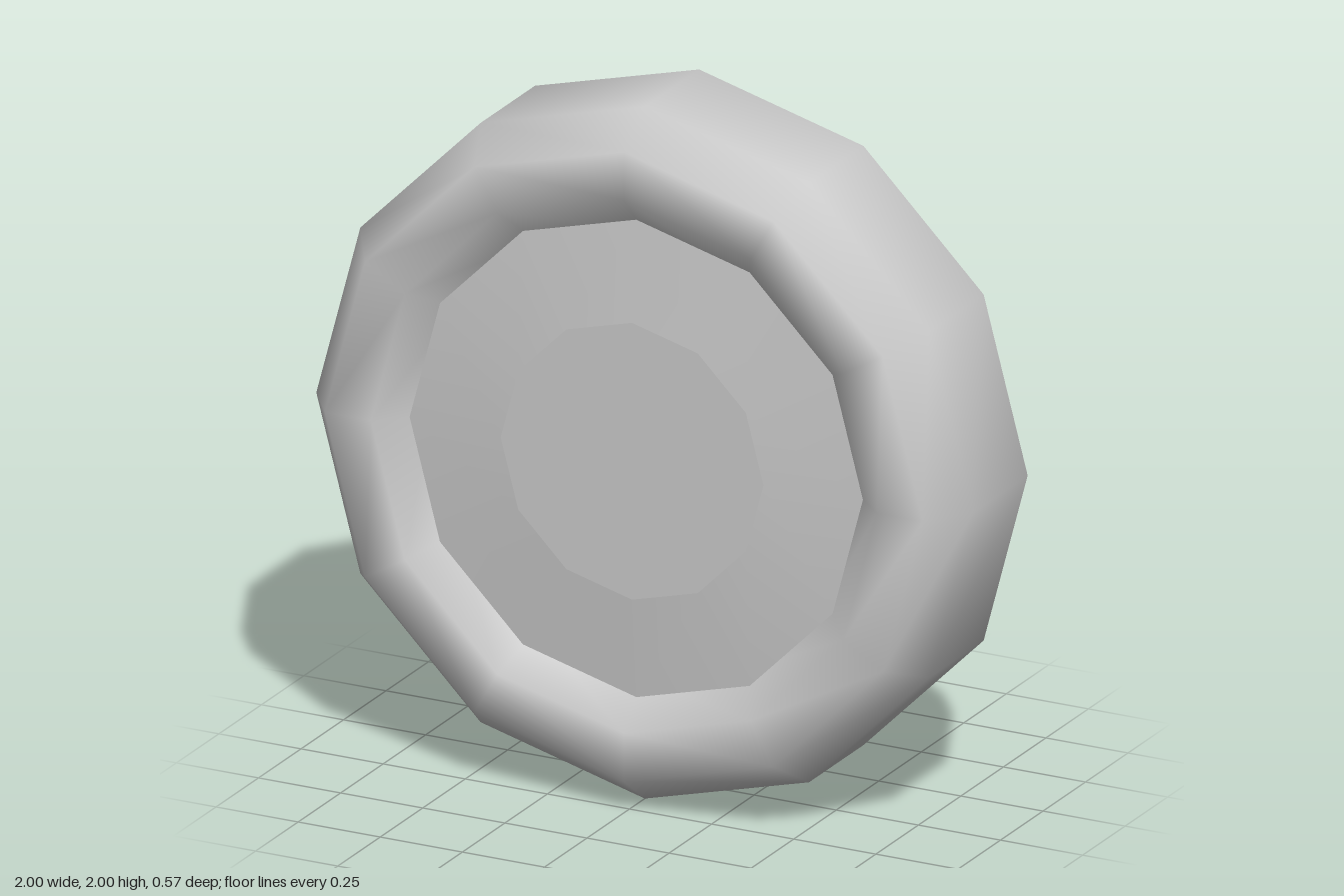
import * as THREE from 'three';

const SIDES = 12;

export function createModel() {
  const group = new THREE.Group();
  group.name = 'wheel';
  const material = new THREE.MeshStandardMaterial({ color: 0xcccccc });

  // Adds a mesh built around the y axis, turned so its axle lies along z
  const add = (name, geometry, z = 0, flip = false) => {
    geometry.rotateX(flip ? -Math.PI / 2 : Math.PI / 2);
    const mesh = new THREE.Mesh(geometry, material);
    mesh.name = name;
    mesh.position.set(0, 1, z);
    group.add(mesh);
  };

  // Tyre: smooth lathe of a bevelled section (radius, half width), mirrored
  const half = [[0.65, 0.17], [0.77, 0.283], [0.91, 0.283], [1, 0.16]];
  const section = [
    ...half.map(([r, w]) => new THREE.Vector2(r, -w)),
    ...half.map(([r, w]) => new THREE.Vector2(r, w)).reverse(),
  ];
  add('tyre', new THREE.LatheGeometry(section, SIDES));

  // Hub: a shallow cone with a flat centre on each side
  const depth = 0.025;
  for (const side of [1, -1]) {
    add(
      side > 0 ? 'frontHub' : 'backHub',
      new THREE.CylinderGeometry(0.4, 0.69, depth, SIDES),
      side * (0.21 + depth / 2),
      side < 0
    );
  }
  return group;
}
